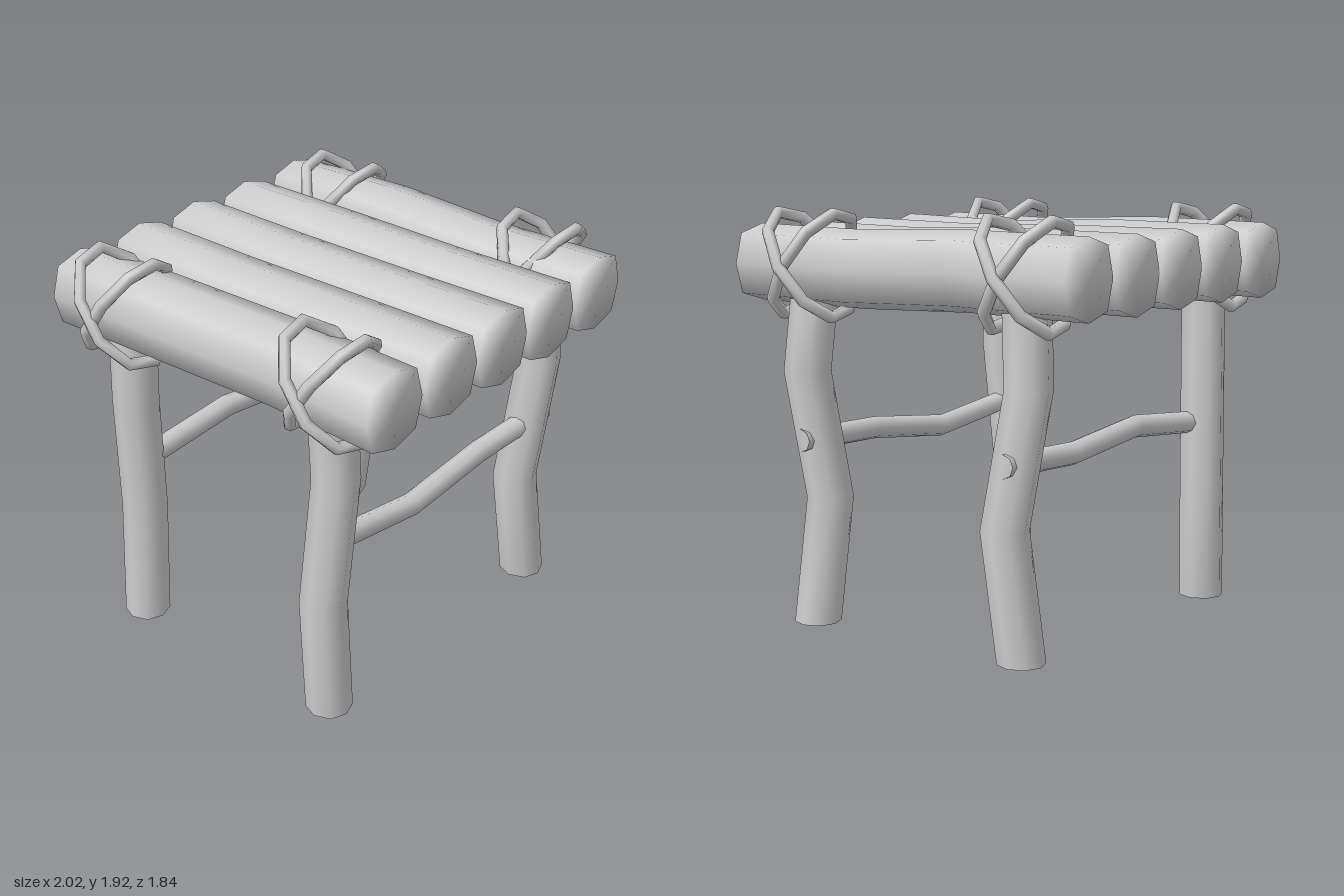
import * as THREE from 'three';

const wood = new THREE.MeshStandardMaterial({ color: 0xcccccc });
wood.name = 'pale grey wood';

// Crooked eight-sided pole through the given points; sections stay square to one axis (0 x, 1 y, 2 z).
function pole(name, points, radius, axis, capped, bulge = 1.06) {
  const u = (axis + 1) % 3, v = (axis + 2) % 3, sides = 8;
  const pos = [], index = [];
  for (const p of points) {
    for (let j = 0; j < sides; j++) {
      const a = (j / sides) * Math.PI * 2;
      const r = radius * (j % 2 ? bulge : 1);
      const q = [...p];
      q[u] += Math.cos(a) * r;
      q[v] += Math.sin(a) * r;
      pos.push(...q);
    }
  }
  const last = (points.length - 1) * sides;
  for (let i = 0; i < last; i += sides) {
    for (let j = 0; j < sides; j++) {
      const a = i + j, b = i + (j + 1) % sides;
      index.push(a, b, b + sides, a, b + sides, a + sides);
    }
  }
  if (capped) {
    // Caps share the rim vertices so the ends shade softly
    const c0 = pos.length / 3, c1 = c0 + 1;
    pos.push(...points[0], ...points[points.length - 1]);
    for (let j = 0; j < sides; j++) {
      const k = (j + 1) % sides;
      index.push(c0, k, j, c1, last + j, last + k);
    }
  }
  const geo = new THREE.BufferGeometry();
  geo.setAttribute('position', new THREE.Float32BufferAttribute(pos, 3));
  geo.setIndex(index);
  geo.computeVertexNormals();
  const mesh = new THREE.Mesh(geo, wood);
  mesh.name = name;
  return mesh;
}

// Two crossed rope loops tying a log to a leg
function lashing(x, z) {
  const group = new THREE.Group();
  group.name = 'lashing';
  for (const s of [-1, 1]) {
    const geo = new THREE.TorusGeometry(1, 0.12, 6, 9);
    // Squash to an oval loop with an even rope thickness
    const p = geo.attributes.position;
    for (let i = 0; i < p.count; i++) {
      const a = Math.atan2(p.getY(i), p.getX(i));
      const d = (Math.hypot(p.getX(i), p.getY(i)) - 1) * 0.24;
      p.setXYZ(i, Math.cos(a) * (0.21 + d), Math.sin(a) * (0.285 + d), p.getZ(i) * 0.24);
    }
    geo.rotateZ(0);
    const n = geo.attributes.normal;
    for (let i = 0; i < n.count; i++) {
      const v = new THREE.Vector3(n.getX(i) / 0.21, n.getY(i) / 0.285, n.getZ(i) / 0.24).normalize();
      n.setXYZ(i, v.x, v.y, v.z);
    }
    const loop = new THREE.Mesh(geo, wood);
    loop.name = 'ropeLoop';
    loop.rotation.x = s * 0.6;
    loop.position.x = s * 0.012;
    group.add(loop);
  }
  group.position.set(x, 1.665, z);
  return group;
}

export function createModel() {
  const model = new THREE.Group();
  model.name = 'logStool';

  // Seat logs: x and y at four stations from back to front
  const zs = [-0.92, -0.31, 0.31, 0.92];
  const logs = [
    [[-0.725, 1.66], [-0.725, 1.67], [-0.685, 1.65], [-0.725, 1.66]],
    [[-0.355, 1.665], [-0.375, 1.67], [-0.335, 1.65], [-0.355, 1.665]],
    [[0.005, 1.66], [-0.01, 1.66], [0.01, 1.65], [0.005, 1.66]],
    [[0.36, 1.655], [0.35, 1.66], [0.365, 1.645], [0.36, 1.655]],
    [[0.725, 1.66], [0.74, 1.67], [0.72, 1.65], [0.725, 1.66]],
  ];
  for (const log of logs) {
    model.add(pole('seatLog', log.map(([x, y], i) => [x, y, zs[i]]), 0.178, 2, true, 1.1));
  }

  // Legs: x and z at four heights from the ground into the seat
  const ys = [0, 0.58, 1.18, 1.72];
  const legs = {
    frontRightLeg: [[-0.725, 0.565], [-0.75, 0.555], [-0.675, 0.565], [-0.72, 0.575]],
    backRightLeg: [[-0.725, -0.615], [-0.69, -0.63], [-0.735, -0.6], [-0.72, -0.605]],
    frontLeftLeg: [[0.77, 0.565], [0.69, 0.55], [0.81, 0.57], [0.72, 0.575]],
    backLeftLeg: [[0.775, -0.615], [0.8, -0.545], [0.71, -0.605], [0.73, -0.605]],
  };
  for (const [name, leg] of Object.entries(legs)) {
    model.add(pole(name, leg.map(([x, z], i) => [x, ys[i], z]), 0.105, 1, false, 1.03));
  }

  // Stretchers between the legs
  const xs = [-0.66, -0.15, 0.36, 0.87];
  const stretcher = (name, heights, z) =>
    model.add(pole(name, heights.map((y, i) => [xs[i], y, z]), 0.053, 0, false, 1));
  stretcher('frontStretcher', [0.87, 0.805, 0.86, 0.865], 0.565);
  stretcher('backStretcher', [0.865, 0.91, 0.855, 0.87], -0.585);

  // Rope lashings at the corners
  model.add(lashing(-0.73, 0.575), lashing(0.765, 0.575), lashing(-0.765, -0.605), lashing(0.74, -0.605));
  return model;
}
